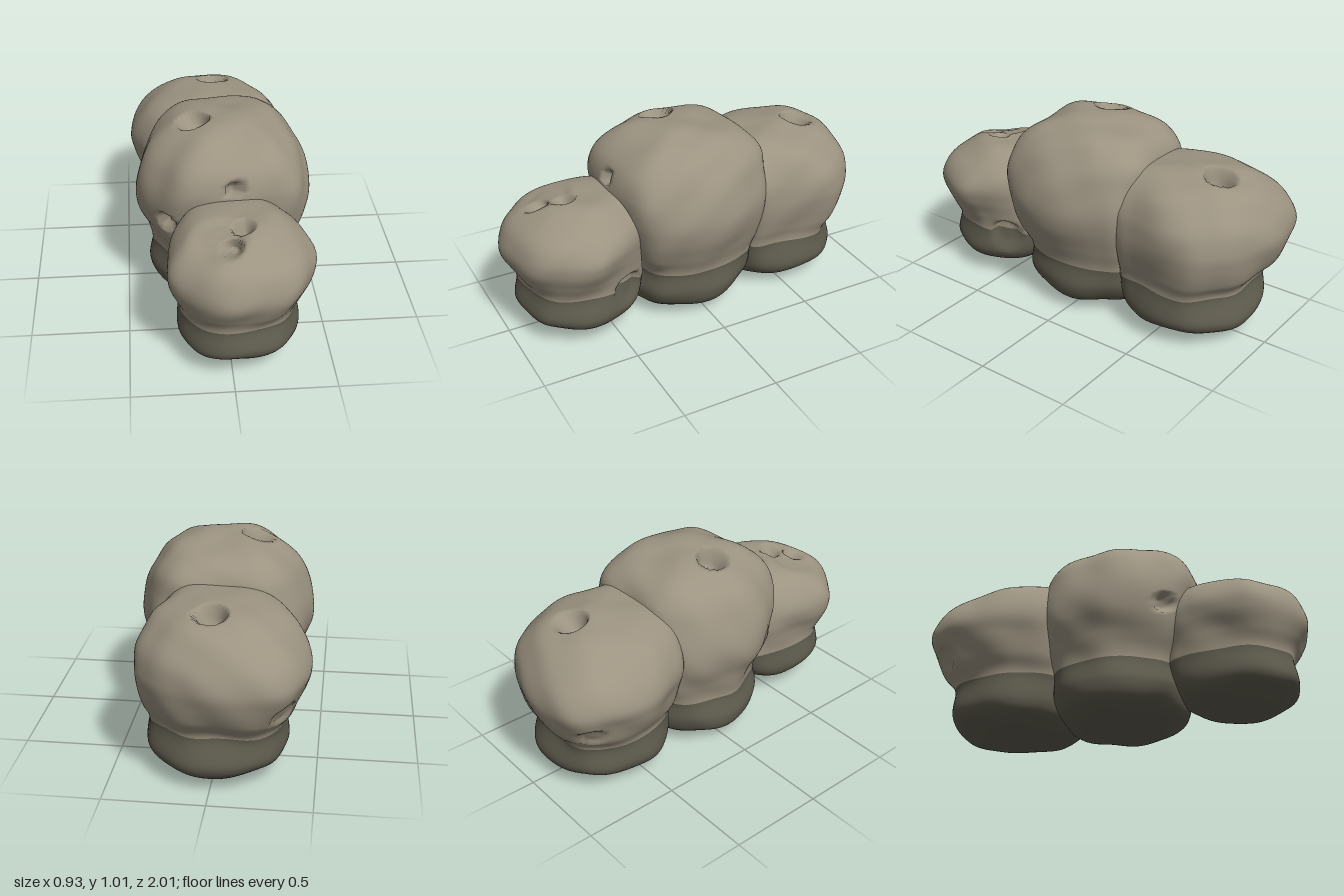
import * as THREE from 'three';

const SEGS = 88, SUB = 8;

// Surface roughness, a smooth function of position
const bump = (x, y, z) =>
  0.007 * Math.sin(11 * x + 5 * z + 2) * Math.sin(9 * y + 7 * z) +
  0.006 * Math.sin(19 * x - 13 * y) * Math.cos(17 * z + 8 * y);

// Lofts one boulder through rings [y, xMin, xMax, zMin, zMax], bottom to top.
// `plan` is the outline from above, scaled to fill each ring's box.
// Ring number `waist` separates the dark foot from the pale cap.
function boulder(name, plan, rings, waist, pits, materials) {
  const xs = new THREE.CatmullRomCurve3(rings.map(r => new THREE.Vector3(r[0], r[1], r[2])), false, 'catmullrom');
  const zs = new THREE.CatmullRomCurve3(rings.map(r => new THREE.Vector3(0, r[3], r[4])), false, 'catmullrom');
  const outline = new THREE.CatmullRomCurve3(plan.map(([u, v]) => new THREE.Vector3(u, 0, v)), true).getSpacedPoints(SEGS);
  const rows = (rings.length - 1) * SUB;
  const mid = rings[waist + 3];
  const centre = new THREE.Vector3((mid[1] + mid[2]) / 2, mid[0], (mid[3] + mid[4]) / 2);
  const pos = [], index = [];
  const p = new THREE.Vector3(), inward = new THREE.Vector3();

  for (let i = 0; i <= rows; i++) {
    const a = xs.getPoint(i / rows), b = zs.getPoint(i / rows);
    // The foot is rounder in plan than the cap
    const round = THREE.MathUtils.clamp(2 - 2 * i / (waist * SUB), 0, 1);
    for (let j = 0; j < SEGS; j++) {
      const o = outline[j], s = 1 + round * (1 / o.length() - 1);
      p.set((a.y + a.z) / 2 + (a.z - a.y) / 2 * o.x * s, a.x,
        (b.y + b.z) / 2 + (b.z - b.y) / 2 * o.z * s);
      inward.copy(centre).sub(p).normalize();
      let depth = bump(p.x, p.y, p.z);
      // Pits with steep walls
      for (const [x, y, z, r, d] of pits) {
        const dist = Math.hypot(p.x - x, p.y - y, p.z - z);
        depth += d * (1 - THREE.MathUtils.smoothstep(dist, r * 0.6, r));
      }
      p.addScaledVector(inward, depth);
      pos.push(p.x, Math.max(p.y, 0), p.z);
    }
  }
  for (let i = 0; i < rows; i++) {
    for (let j = 0; j < SEGS; j++) {
      const k = (j + 1) % SEGS, lo = i * SEGS, hi = lo + SEGS;
      index.push(lo + j, hi + j, lo + k, lo + k, hi + j, hi + k);
    }
  }
  const geo = new THREE.BufferGeometry();
  geo.setAttribute('position', new THREE.Float32BufferAttribute(pos, 3));
  geo.setIndex(index);
  const split = waist * SUB * SEGS * 6;
  geo.addGroup(0, split, 0);
  geo.addGroup(split, index.length - split, 1);
  geo.computeVertexNormals();
  const mesh = new THREE.Mesh(geo, materials);
  mesh.name = name;
  return mesh;
}

export function createModel() {
  const foot = new THREE.MeshStandardMaterial({ color: 0x605d4f });
  foot.name = 'dark stone';
  const cap = new THREE.MeshStandardMaterial({ color: 0x9c9381 });
  cap.name = 'pale stone';
  const mats = [foot, cap];
  const group = new THREE.Group();
  group.name = 'boulderRow';

  // Tall boulder in the middle
  group.add(boulder('middleBoulder', [
    [1, 0.12], [0.95, 0.44], [0.78, 0.8], [0.42, 0.95], [0, 1], [-0.55, 0.93], [-0.82, 0.58], [-1, 0.13],
    [-0.96, -0.25], [-0.83, -0.7], [-0.6, -0.94], [0, -1], [0.66, -0.97], [0.86, -0.67], [0.96, -0.3],
  ], [
    [0.0, 0.02, 0.02, 0.03, 0.03],
    [0.015, -0.19, 0.20, -0.18, 0.22],
    [0.07, -0.335, 0.33, -0.29, 0.34],
    [0.16, -0.375, 0.375, -0.32, 0.37],
    [0.285, -0.355, 0.365, -0.305, 0.34],
    [0.40, -0.39, 0.405, -0.33, 0.39],
    [0.52, -0.435, 0.45, -0.345, 0.425],
    [0.63, -0.44, 0.465, -0.35, 0.445],
    [0.75, -0.405, 0.44, -0.355, 0.45],
    [0.86, -0.345, 0.38, -0.34, 0.41],
    [0.95, -0.24, 0.285, -0.25, 0.30],
    [0.995, -0.11, 0.16, -0.06, 0.18],
    [1.006, 0.03, 0.03, 0.07, 0.07],
  ], 4, [
    [-0.14, 0.975, 0.07, 0.09, 0.1],
    [0.045, 0.785, 0.43, 0.045, 0.07],
    [-0.31, 0.56, 0.36, 0.06, 0.05],
  ], mats));

  // Small boulder at the front
  group.add(boulder('frontBoulder', [
    [1, -0.03], [0.85, 0.48], [0.6, 0.8], [0.13, 0.95], [-0.33, 1], [-0.77, 0.72], [-0.98, 0.42],
    [-1, 0], [-0.94, -0.6], [-0.75, -0.92], [0, -1], [0.6, -0.93], [0.83, -0.63], [0.95, -0.33],
  ], [
    [0.05, 0.04, 0.04, 0.66, 0.66],
    [0.06, -0.10, 0.18, 0.50, 0.79],
    [0.095, -0.21, 0.29, 0.37, 0.88],
    [0.16, -0.255, 0.345, 0.32, 0.94],
    [0.285, -0.245, 0.335, 0.31, 0.92],
    [0.38, -0.265, 0.365, 0.32, 0.96],
    [0.47, -0.295, 0.405, 0.33, 0.995],
    [0.55, -0.295, 0.413, 0.33, 0.985],
    [0.63, -0.25, 0.365, 0.33, 0.94],
    [0.70, -0.17, 0.27, 0.36, 0.83],
    [0.735, -0.05, 0.19, 0.47, 0.72],
    [0.745, 0.08, 0.08, 0.60, 0.60],
  ], 4, [
    [0.06, 0.735, 0.68, 0.065, 0.07],
    [-0.01, 0.70, 0.81, 0.065, 0.07],
    [-0.06, 0.71, 0.74, 0.16, 0.02],
    [0.31, 0.27, 0.44, 0.1, 0.04],
  ], mats));

  // Broad boulder at the back
  group.add(boulder('backBoulder', [
    [1, 0.04], [0.92, 0.5], [0.85, 0.82], [0.5, 0.98], [0, 1], [-0.5, 0.96], [-0.74, 0.8], [-0.91, 0.48], [-1, 0.12],
    [-0.93, -0.48], [-0.8, -0.78], [-0.55, -0.96], [0, -1], [0.33, -0.95], [0.64, -0.77], [0.91, -0.46], [0.98, -0.25],
  ], [
    [0.02, -0.02, -0.02, -0.54, -0.54],
    [0.032, -0.18, 0.16, -0.74, -0.36],
    [0.065, -0.30, 0.28, -0.86, -0.26],
    [0.14, -0.355, 0.345, -0.91, -0.24],
    [0.285, -0.345, 0.325, -0.875, -0.25],
    [0.38, -0.395, 0.35, -0.94, -0.24],
    [0.48, -0.44, 0.375, -0.98, -0.23],
    [0.57, -0.465, 0.385, -0.995, -0.23],
    [0.67, -0.43, 0.37, -0.965, -0.22],
    [0.77, -0.345, 0.31, -0.885, -0.22],
    [0.83, -0.23, 0.21, -0.775, -0.28],
    [0.86, -0.10, 0.08, -0.64, -0.44],
    [0.866, -0.01, -0.01, -0.55, -0.55],
  ], 4, [
    [0.01, 0.835, -0.70, 0.09, 0.1],
    [-0.35, 0.42, -0.86, 0.08, 0.02],
  ], mats));

  return group;
}
